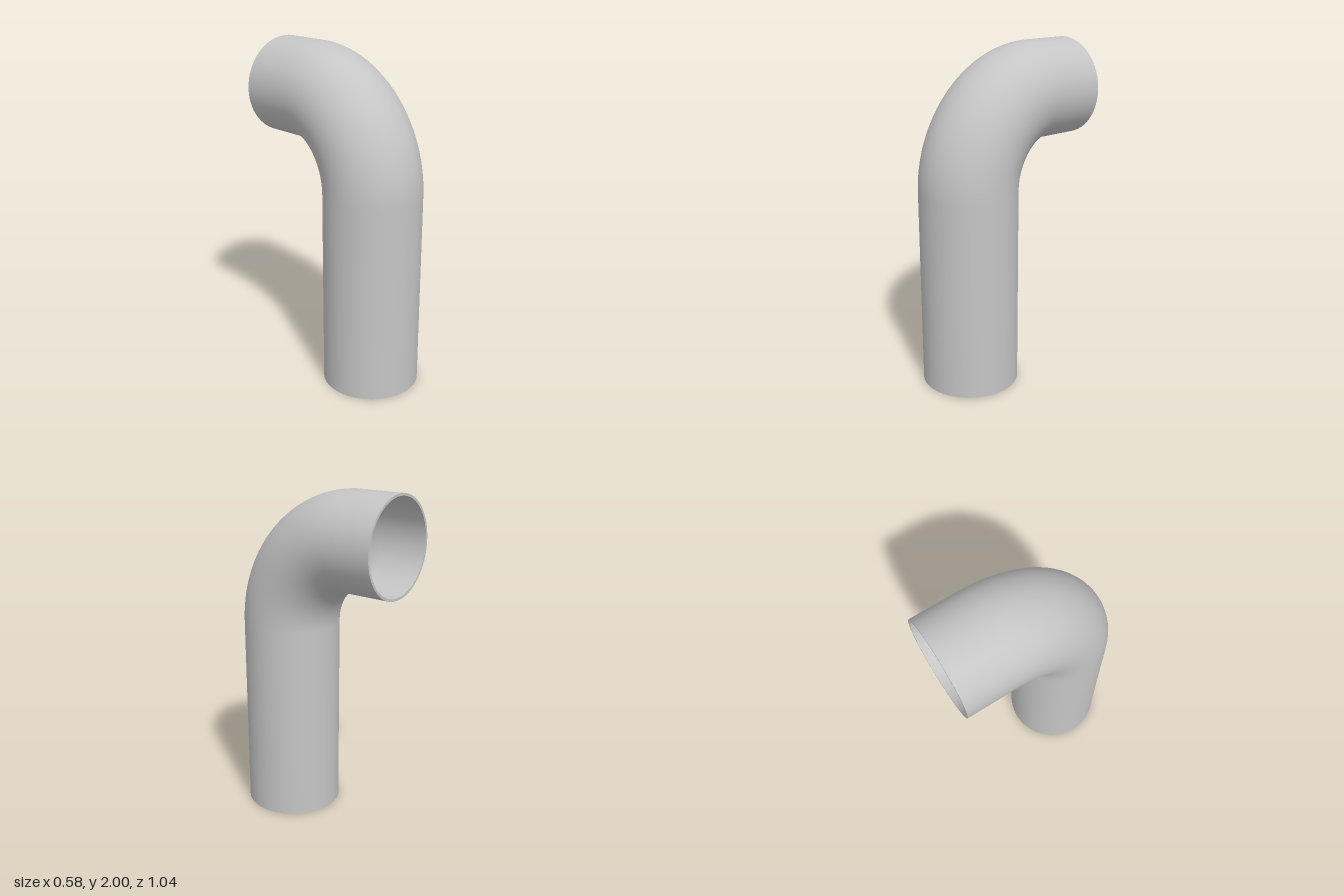
import * as THREE from 'three';

const OUTER = 0.288, INNER = 0.274, SIDES = 64, BEND_STEPS = 32;
const AXIS_Z = 0.23, AXIS_Y = 1.712;      // centre lines of the upright and the outlet
const BEND_Z = -0.23, BEND_Y = 1.18;      // centre of the elbow
const SAG = 0.012;                        // slight flattening of the elbow
const END_Z = -0.518;

// Stations along the centre line: point plus the direction away from the elbow centre
function stations() {
  const list = [{ y: 0, z: AXIS_Z, ny: 0, nz: 1 }];
  const a = AXIS_Z - BEND_Z, b = AXIS_Y - BEND_Y;
  for (let i = 0; i <= BEND_STEPS; i++) {
    const t = (i / BEND_STEPS) * Math.PI / 2, c = Math.cos(t), s = Math.sin(t);
    const rise = b * c - 2 * SAG * Math.cos(2 * t), len = Math.hypot(rise, a * s);
    list.push({ y: BEND_Y + b * s - SAG * Math.sin(2 * t), z: BEND_Z + a * c, ny: a * s / len, nz: rise / len });
  }
  list.push({ y: AXIS_Y, z: END_Z, ny: 1, nz: 0 });
  return list;
}

// Sweeps a circle through the stations; side is 1 for the outside wall, -1 for the bore
function wall(radius, side) {
  const pos = [], nor = [], index = [], path = stations(), row = SIDES + 1;
  path.forEach((p, i) => {
    for (let j = 0; j <= SIDES; j++) {
      const t = (j / SIDES) * Math.PI * 2, c = Math.cos(t), s = Math.sin(t);
      pos.push(radius * s, p.y + radius * c * p.ny, p.z + radius * c * p.nz);
      nor.push(side * s, side * c * p.ny, side * c * p.nz);
      if (i < path.length - 1 && j < SIDES) {
        const k = i * row + j;
        if (side > 0) index.push(k, k + 1, k + row, k + 1, k + row + 1, k + row);
        else index.push(k, k + row, k + 1, k + 1, k + row, k + row + 1);
      }
    }
  });
  const g = new THREE.BufferGeometry();
  g.setAttribute('position', new THREE.Float32BufferAttribute(pos, 3));
  g.setAttribute('normal', new THREE.Float32BufferAttribute(nor, 3));
  g.setIndex(index);
  return g;
}

export function createModel() {
  const group = new THREE.Group();
  group.name = 'elbowPipe';
  const grey = new THREE.MeshStandardMaterial({ color: 0xc5c5c5 });
  grey.name = 'pipeGrey';
  const add = (name, geometry) => {
    const mesh = new THREE.Mesh(geometry, grey);
    mesh.name = name;
    group.add(mesh);
    return mesh;
  };

  add('outerWall', wall(OUTER, 1));
  add('innerWall', wall(INNER, -1));

  // Flat rims closing the wall thickness at both open ends
  const rim = new THREE.RingGeometry(INNER, OUTER, SIDES);
  const bottom = add('bottomRim', rim);
  bottom.rotation.x = Math.PI / 2;
  bottom.position.z = AXIS_Z;
  const outlet = add('outletRim', rim);
  outlet.rotation.y = Math.PI;
  outlet.position.set(0, AXIS_Y, END_Z);
  return group;
}
